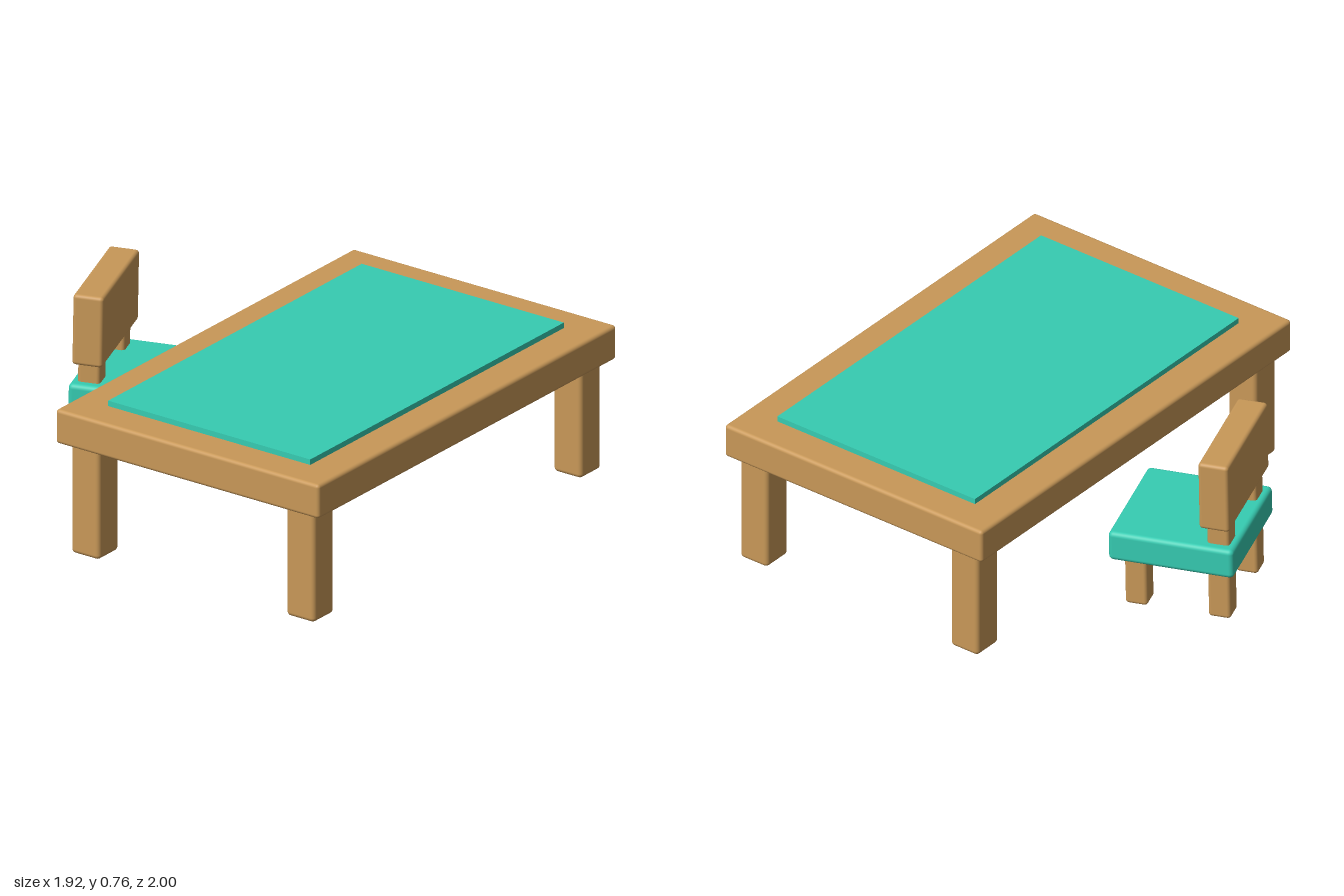
import * as THREE from 'three';
import { RoundedBoxGeometry } from 'three/addons/geometries/RoundedBoxGeometry.js';

const wood = new THREE.MeshStandardMaterial({ color: 0xc89858 });
const teal = new THREE.MeshStandardMaterial({ color: 0x36ccb2 });

// Soft-edged block given by its size and centre
function block(parent, name, material, [w, h, d], [x, y, z], radius = 0.015) {
  const geometry = radius
    ? new RoundedBoxGeometry(w, h, d, 3, radius)
    : new THREE.BoxGeometry(w, h, d);
  const mesh = new THREE.Mesh(geometry, material);
  mesh.name = name;
  mesh.position.set(x, y, z);
  parent.add(mesh);
}

function createTable() {
  const table = new THREE.Group();
  table.name = 'table';
  table.position.x = 0.313;
  block(table, 'tableTop', wood, [1.296, 0.147, 2], [0, 0.547, 0]);
  block(table, 'tableMat', teal, [0.995, 0.03, 1.7], [0, 0.629, 0], 0);
  for (const sx of [-1, 1]) {
    for (const sz of [-1, 1]) {
      block(table, 'tableLeg', wood, [0.138, 0.49, 0.138], [sx * 0.53, 0.245, sz * 0.895], 0.018);
    }
  }
  return table;
}

// Chair built around its seat centre, facing local +x
function createChair() {
  const chair = new THREE.Group();
  chair.name = 'chair';
  block(chair, 'seat', teal, [0.522, 0.13, 0.522], [0, 0, 0], 0.02);
  block(chair, 'backrest', wood, [0.126, 0.304, 0.52], [-0.184, 0.302, 0]);
  for (const sz of [-1, 1]) {
    block(chair, 'frontLeg', wood, [0.093, 0.26, 0.093], [0.16, -0.15, sz * 0.175]);
    // Rear legs run through the seat and carry the backrest
    block(chair, 'rearLegAndPost', wood, [0.093, 0.46, 0.093], [-0.187, -0.05, sz * 0.175]);
  }
  // Turned away from the table, with a slight forward lean
  chair.position.set(-0.633, 0.3, -0.034);
  chair.rotation.set(0, 0.349, -0.017, 'YXZ');
  return chair;
}

export function createModel() {
  const model = new THREE.Group();
  model.name = 'tableAndChair';
  model.add(createTable(), createChair());
  return model;
}
